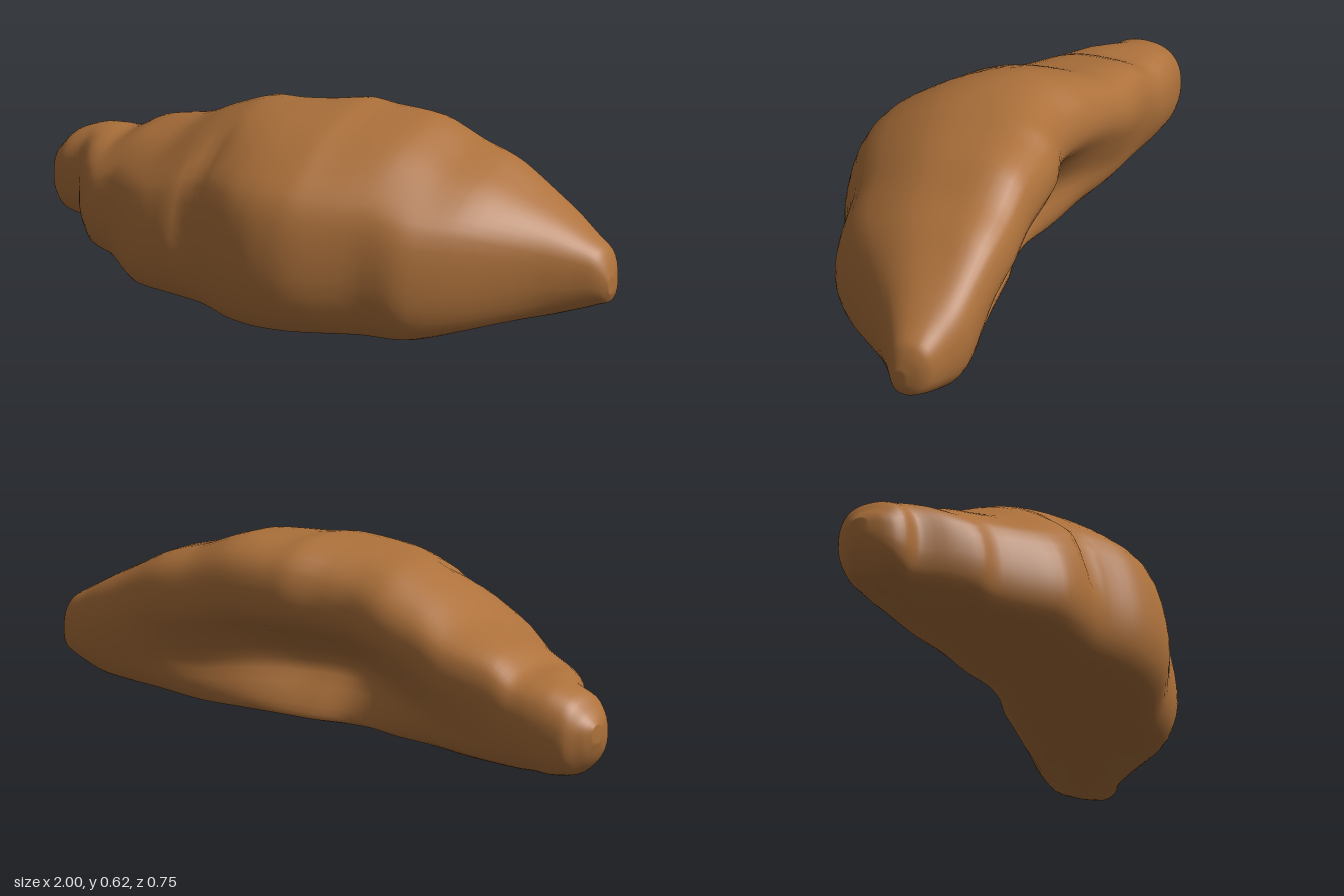
import * as THREE from 'three';
import { mergeVertices } from 'three/addons/utils/BufferGeometryUtils.js';

// Outline along the length: [x, bottom, top, back, front]
const STATIONS = [
  [-1.0, 0.17, 0.23, -0.24, -0.19], [-0.985, 0.125, 0.25, -0.265, -0.14], [-0.965, 0.09, 0.27, -0.285, -0.105],
  [-0.93, 0.055, 0.31, -0.315, -0.08], [-0.86, 0.042, 0.34, -0.332, -0.065], [-0.8, 0.038, 0.352, -0.34, 0.02],
  [-0.73, 0.028, 0.36, -0.34, 0.095], [-0.64, 0.023, 0.41, -0.335, 0.125], [-0.48, 0.018, 0.455, -0.345, 0.26],
  [-0.35, 0.015, 0.53, -0.33, 0.285], [-0.22, 0.01, 0.59, -0.325, 0.3], [-0.1, 0.005, 0.605, -0.31, 0.355],
  [0, 0.002, 0.612, -0.325, 0.375], [0.1, 0.002, 0.62, -0.36, 0.368], [0.18, 0.004, 0.61, -0.368, 0.345],
  [0.34, 0.007, 0.6, -0.372, 0.275], [0.48, 0.01, 0.54, -0.378, 0.245], [0.62, 0.03, 0.495, -0.376, 0.145],
  [0.8, 0.052, 0.39, -0.36, -0.03], [0.9, 0.08, 0.325, -0.325, -0.11], [0.96, 0.103, 0.285, -0.3, -0.15],
  [0.985, 0.113, 0.245, -0.27, -0.17], [1.0, 0.145, 0.2, -0.225, -0.185],
];

// Middle cross-section: [depth, height, hollow, sag], depth and height from 0 to 1
const PROFILE = [
  [0.78, 0.005, 0, 0], [0.92, 0.025, 0, 0], [0.99, 0.18, 0, 0], [0.985, 0.42, 0, 0], [0.905, 0.69, 0, 0],
  [0.76, 0.83, 0, 0], [0.58, 0.935, 0, 0], [0.38, 0.985, 0, 0], [0.19, 1, 0, 0.035], [0.06, 0.93, 0, 0.06],
  [0.01, 0.79, 0, 0.04], [0.005, 0.63, 0.03, 0], [0.03, 0.47, 0.2, 0], [0.07, 0.3, 0.31, 0],
  [0.12, 0.14, 0.16, 0], [0.21, 0.04, 0.03, 0], [0.5, 0.005, 0, 0],
];
const RINGS = 88, SIDES = 51;

const { lerp, clamp, smoothstep } = THREE.MathUtils;
const bump = (x, centre, width) => Math.exp(-(((x - centre) / width) ** 2));
const softSquare = (c) => 0.5 + 0.5 * Math.sign(c) * Math.abs(c) ** 0.82;

// Cross-section at one station: D-shaped in the middle, rounded square at the tips
function ringPoints([x, bottom, top, back, front]) {
  const round = smoothstep(Math.abs(x), 0.5, 0.95);
  const hollow = bump(x, 0.12, 0.38);
  const sagging = bump(x, -0.25, 0.22);
  const points = PROFILE.map(([d, h, dent, sag]) => {
    const a = Math.atan2(h - 0.5, d - 0.5);
    const u = lerp(d + dent * hollow, softSquare(Math.cos(a)), round);
    const v = lerp(h - sag * sagging, softSquare(Math.sin(a)), round);
    return new THREE.Vector3(x, bottom + v * (top - bottom), back + u * (front - back));
  });
  return new THREE.CatmullRomCurve3(points, true).getPoints(SIDES).slice(0, SIDES);
}

// Stations resampled along a soft spline
function sampleStation(t) {
  const f = t * (STATIONS.length - 1);
  const i = Math.min(Math.floor(f), STATIONS.length - 2);
  const k = f - i;
  const at = (n) => STATIONS[clamp(n, 0, STATIONS.length - 1)];
  return STATIONS[i].map((p1, c) => {
    const p0 = at(i - 1)[c], p2 = at(i + 1)[c], p3 = at(i + 2)[c];
    const m1 = (p2 - p0) * 0.4, m2 = (p3 - p1) * 0.4;
    return (2 * k ** 3 - 3 * k ** 2 + 1) * p1 + (k ** 3 - 2 * k ** 2 + k) * m1
      + (3 * k ** 2 - 2 * k ** 3) * p2 + (k ** 3 - k ** 2) * m2;
  });
}

function loafGeometry() {
  const positions = [], index = [];
  for (let i = 0; i <= RINGS; i++) {
    for (const p of ringPoints(sampleStation(i / RINGS))) {
      // Shallow slanted fold on the upper front
      const fold = 0.018 * bump(p.x, -0.29 + 0.3 * Math.max(p.y - 0.35, 0), 0.03)
        * smoothstep(p.z, 0, 0.15) * smoothstep(p.y, 0.12, 0.3);
      positions.push(p.x, p.y - fold * 0.5, p.z - fold);
    }
  }
  for (let i = 0; i < RINGS; i++) {
    for (let j = 0; j < SIDES; j++) {
      const n = (j + 1) % SIDES;
      const a = i * SIDES + j, b = a + SIDES, c = i * SIDES + n, d = c + SIDES;
      index.push(a, b, c, b, d, c);
    }
  }
  // Close the two tips
  for (let j = 1; j < SIDES - 1; j++) {
    const e = RINGS * SIDES;
    index.push(0, j, j + 1, e, e + j + 1, e + j);
  }
  const geometry = new THREE.BufferGeometry();
  geometry.setAttribute('position', new THREE.Float32BufferAttribute(positions, 3));
  geometry.setIndex(index);
  const merged = mergeVertices(geometry, 1e-4);
  merged.computeVertexNormals();
  return merged;
}

export function createModel() {
  const crust = new THREE.MeshStandardMaterial({ color: 0xad713b });
  crust.name = 'goldenCrust';
  const loaf = new THREE.Mesh(loafGeometry(), crust);
  loaf.name = 'crescentLoaf';
  const group = new THREE.Group();
  group.name = 'crescentRoll';
  group.add(loaf);
  return group;
}
